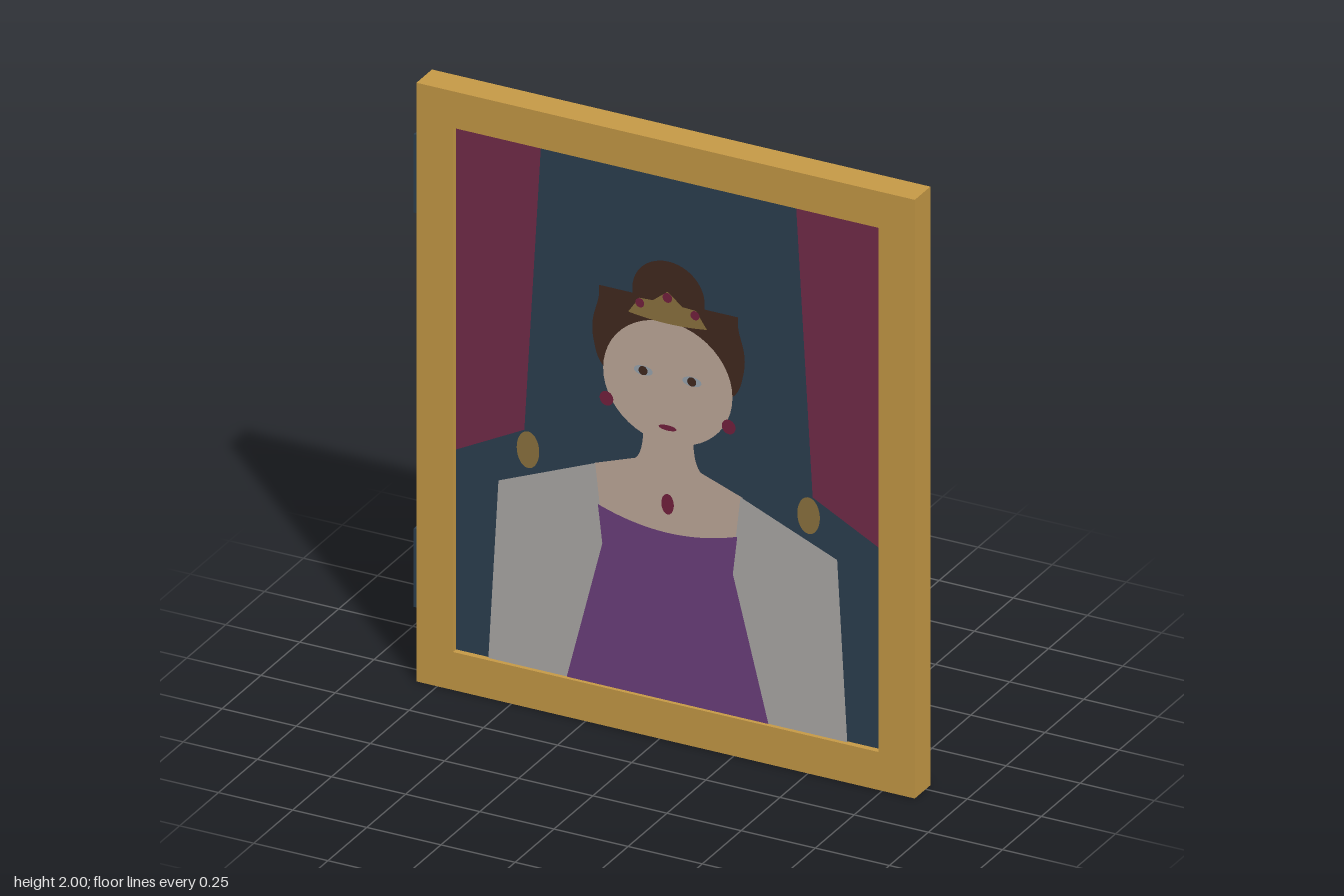
import * as THREE from 'three';

const mat = (name, color) => {
  const m = new THREE.MeshStandardMaterial({ color });
  m.name = name;
  return m;
};

const STEP = 0.0015; // gap between painted layers

export function createModel() {
  const gold = mat('frame gold', 0xc99c47);
  const navy = mat('navy', 0x2d4052);
  const burgundy = mat('burgundy', 0x752d4b);
  const bronze = mat('dull gold', 0x8f7540);
  const brown = mat('hair brown', 0x432a20);
  const skin = mat('skin', 0xc4ae9e);
  const grey = mat('sleeve grey', 0xb0aeab);
  const purple = mat('dress purple', 0x6e4080);
  const ruby = mat('ruby', 0x77213f);
  const paleBlue = mat('eye pale blue', 0x9fabb5);

  const model = new THREE.Group();
  model.name = 'doublePortrait';

  // Frame: rectangle with an opening
  const outline = (x0, x1, y0, y1, Type) => new Type([
    new THREE.Vector2(x0, y0), new THREE.Vector2(x1, y0),
    new THREE.Vector2(x1, y1), new THREE.Vector2(x0, y1)]);
  const frameShape = outline(-0.82, 0.86, 0, 2, THREE.Shape);
  frameShape.holes.push(outline(-0.697, 0.737, 0.127, 1.878, THREE.Path));
  const frameGeo = new THREE.ExtrudeGeometry(frameShape, { depth: 0.1, bevelEnabled: false });
  const frame = new THREE.Mesh(frameGeo.translate(0, 0, -0.03), gold);
  frame.name = 'frame';
  model.add(frame);

  // Backing panel
  const panel = new THREE.Mesh(new THREE.BoxGeometry(1.45, 1.77, 0.06), navy);
  panel.position.set(0.02, 1.0025, 0.02);
  panel.name = 'panel';
  model.add(panel);

  // Hinges on the right edge
  for (const [name, y] of [['lowerHinge', 0.343], ['upperHinge', 1.66]]) {
    const hinge = new THREE.Mesh(new THREE.BoxGeometry(0.08, 0.262, 0.08), navy);
    hinge.position.set(-0.822, y, -0.032);
    hinge.name = name;
    model.add(hinge);
  }

  // One painted face, centred on x = 0 and facing +z
  function createPainting() {
    const g = new THREE.Group();
    const plate = (name, shape, material, layer) => {
      const mesh = new THREE.Mesh(new THREE.ShapeGeometry(shape, 24), material);
      mesh.position.z = 0.03 + layer * STEP;
      mesh.name = name;
      g.add(mesh);
    };
    const poly = (pts) => new THREE.Shape(pts.map(([x, y]) => new THREE.Vector2(x, y)));
    const oval = (x, y, rx, ry) => new THREE.Shape().absellipse(x, y, rx, ry, 0, Math.PI * 2);

    // Curtains, tassels and sleeves in mirrored pairs
    for (const s of [-1, 1]) {
      const side = s > 0 ? 'left' : 'right';
      const flip = (pts) => poly(pts.map(([x, y]) => [x * s, y]));
      plate(side + 'Curtain', flip([[0.717, 1.878], [0.43, 1.878], [0.486, 0.915], [0.717, 0.795]]), burgundy, 1);
      plate(side + 'Tassel', oval(0.473 * s, 0.852, 0.038, 0.061), bronze, 2);
      plate(side + 'Sleeve', flip([[0.245, 0.862], [0.571, 0.728], [0.605, 0.127],
        [0.335, 0.127], [0.215, 0.615], [0.23, 0.73]]), grey, 4);
      plate(side + 'Earring', oval(0.206 * s, 1.088, 0.023, 0.024), ruby, 5);
      plate(side + 'EyeWhite', oval(0.082 * s, 1.21, 0.032, 0.016), paleBlue, 5);
      plate(side + 'Iris', oval(0.082 * s, 1.21, 0.015, 0.015), brown, 6);
      plate(side + 'CrownGem', oval(0.093 * s, 1.434, 0.015, 0.015), ruby, 6);
    }

    // Hair: bun and side mass
    plate('hairBun', oval(0, 1.475, 0.122, 0.115), brown, 1);
    const hair = new THREE.Shape();
    hair.moveTo(-0.235, 1.458);
    hair.lineTo(0.235, 1.458);
    hair.bezierCurveTo(0.225, 1.39, 0.275, 1.36, 0.25, 1.26);
    hair.quadraticCurveTo(0.24, 1.2, 0.205, 1.18);
    hair.lineTo(-0.205, 1.18);
    hair.quadraticCurveTo(-0.24, 1.2, -0.25, 1.26);
    hair.bezierCurveTo(-0.275, 1.36, -0.225, 1.39, -0.235, 1.458);
    plate('hair', hair, brown, 1);

    // Neck and chest
    const chest = new THREE.Shape();
    chest.moveTo(-0.085, 1.05);
    chest.quadraticCurveTo(-0.08, 0.94, -0.11, 0.91);
    chest.lineTo(-0.25, 0.86);
    chest.lineTo(-0.25, 0.67);
    chest.lineTo(0.25, 0.67);
    chest.lineTo(0.25, 0.86);
    chest.lineTo(0.11, 0.91);
    chest.quadraticCurveTo(0.08, 0.94, 0.085, 1.05);
    plate('neckAndChest', chest, skin, 2);

    // Dress with a curved neckline
    const dress = poly([[-0.235, 0.728], [-0.22, 0.6], [-0.34, 0.127], [0.34, 0.127], [0.22, 0.6], [0.235, 0.728]]);
    dress.quadraticCurveTo(0, 0.645, -0.235, 0.728);
    plate('dress', dress, purple, 5);

    // Face, mouth, crown and jewels
    plate('face', oval(0, 1.187, 0.218, 0.204), skin, 4);
    plate('mouth', oval(0, 1.037, 0.03, 0.009), ruby, 5);
    const crown = poly([[-0.133, 1.395], [-0.095, 1.45], [-0.05, 1.452], [0, 1.492],
      [0.05, 1.452], [0.095, 1.45], [0.133, 1.395]].reverse());
    crown.quadraticCurveTo(0, 1.375, 0.133, 1.395);
    plate('crown', crown, bronze, 5);
    plate('centreGem', oval(0, 1.472, 0.016, 0.016), ruby, 6);
    plate('pendant', oval(0, 0.782, 0.021, 0.034), ruby, 5);
    return g;
  }

  // Same portrait on both sides
  for (const [name, turn] of [['frontPainting', 0], ['backPainting', Math.PI]]) {
    const painting = createPainting();
    painting.name = name;
    painting.position.set(0.02, 0, 0.02);
    painting.rotation.y = turn;
    model.add(painting);
  }
  return model;
}
